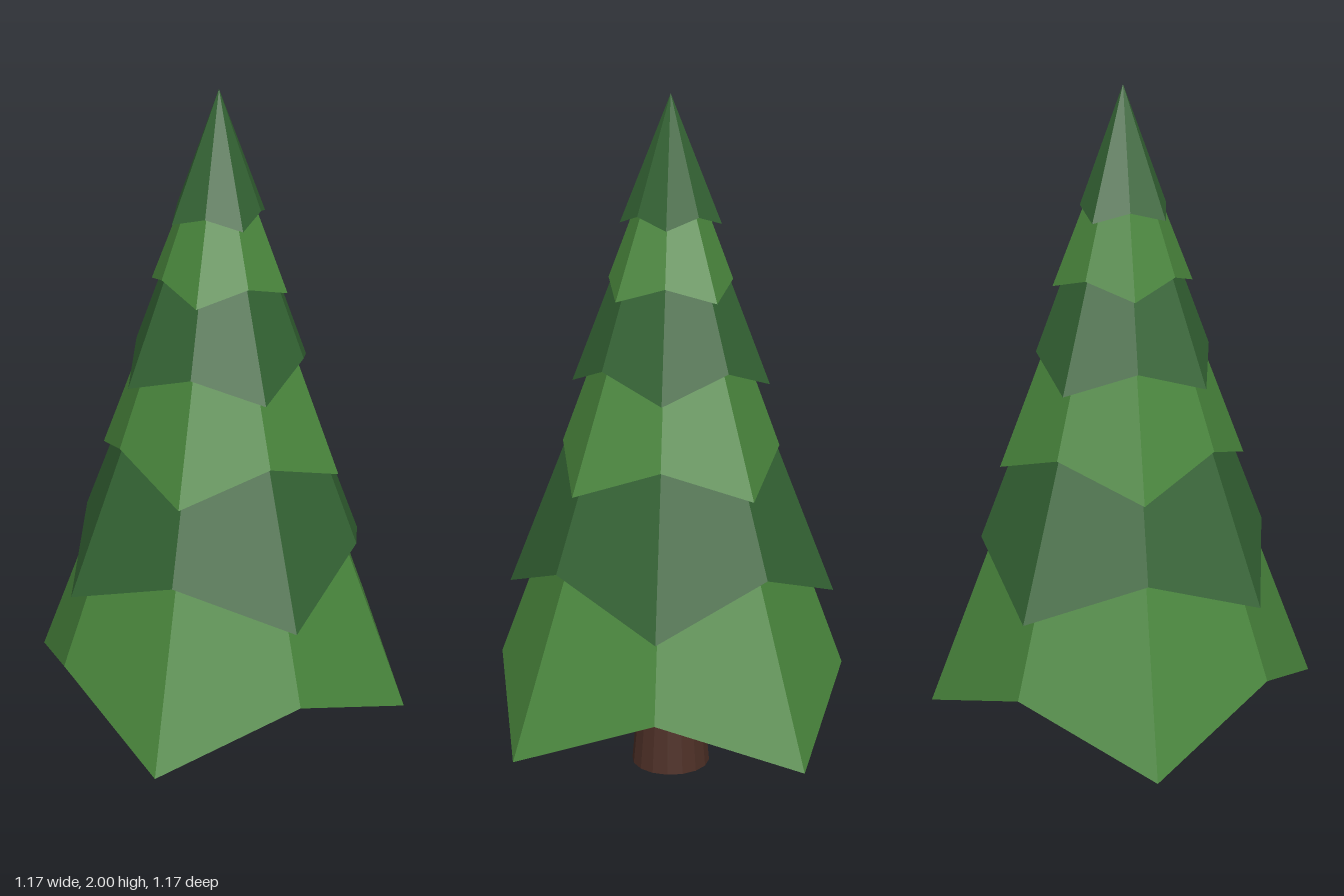
import * as THREE from 'three';

const LIGHT = 0x4a873d, DARK = 0x346434, BARK = 0x4e3027;

// Eight-sided skirt of branches: rim heights alternate between axis and diagonal corners
function tierGeometry({ axis, diagonal, apex, under }) {
  const rim = [];
  for (let i = 0; i < 8; i++) {
    const [r, y] = i % 2 ? diagonal : axis;
    const a = i * Math.PI / 4;
    rim.push([r * Math.sin(a), y, r * Math.cos(a)]);
  }
  const pos = [];
  for (let i = 0; i < 8; i++) {
    const p = rim[i], q = rim[(i + 1) % 8];
    pos.push(...p, ...q, 0, apex, 0); // outer slope
    pos.push(...q, ...p, 0, under, 0); // hollowed underside
  }
  const geo = new THREE.BufferGeometry();
  geo.setAttribute('position', new THREE.Float32BufferAttribute(pos, 3));
  geo.computeVertexNormals();
  return geo;
}

export function createModel() {
  const tree = new THREE.Group();
  tree.name = 'pineTree';

  // Trunk, tapering up into the lowest branches
  const trunk = new THREE.Mesh(
    new THREE.CylinderGeometry(0.07, 0.117, 0.5, 16).translate(0, 0.25, 0),
    new THREE.MeshStandardMaterial({ color: BARK, flatShading: true })
  );
  trunk.name = 'trunk';
  tree.add(trunk);

  // Branch tiers from bottom to top: [radius, height] of the two kinds of corner
  const tiers = [
    { axis: [0.583, 0.165], diagonal: [0.51, 0.335], apex: 1.7, under: 0.435 },
    { axis: [0.42, 0.69], diagonal: [0.48, 0.56], apex: 1.78, under: 0.77 },
    { axis: [0.36, 0.905], diagonal: [0.315, 1.0], apex: 1.85, under: 1.06 },
    { axis: [0.25, 1.25], diagonal: [0.285, 1.18], apex: 1.92, under: 1.3 },
    { axis: [0.2, 1.44], diagonal: [0.177, 1.485], apex: 1.95, under: 1.52 },
    { axis: [0.121, 1.67], diagonal: [0.144, 1.64], apex: 2.0, under: 1.69 },
  ];
  tiers.forEach((tier, i) => {
    const mesh = new THREE.Mesh(
      tierGeometry(tier),
      new THREE.MeshStandardMaterial({ color: i % 2 ? DARK : LIGHT, flatShading: true })
    );
    mesh.name = `branchTier${i + 1}`;
    tree.add(mesh);
  });

  return tree;
}
